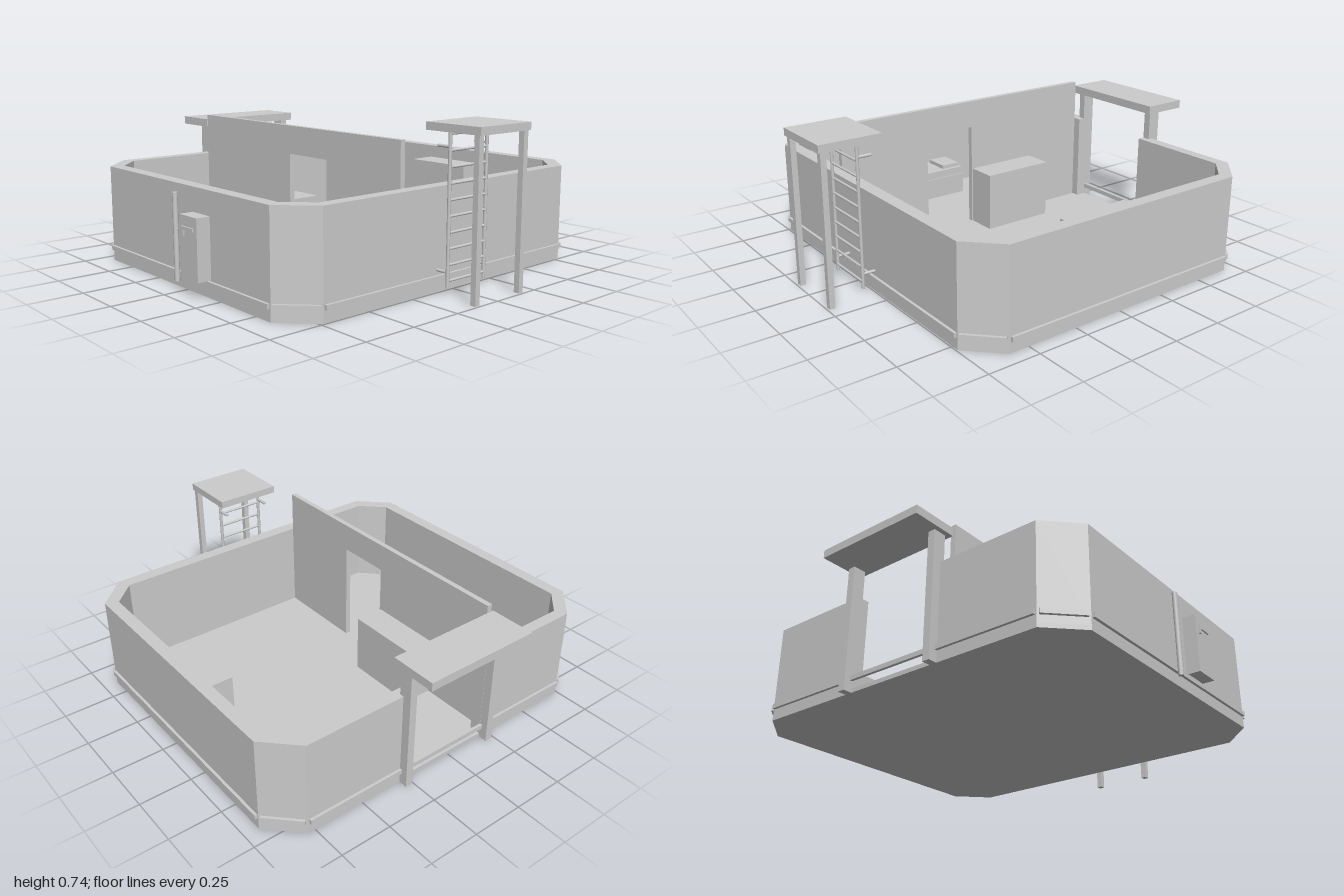
import * as THREE from 'three';

export function createModel() {
  const model = new THREE.Group();
  model.name = 'openCabin';
  const grey = new THREE.MeshStandardMaterial({ color: 0xcccccc });
  grey.name = 'plainGrey';

  const add = (name, geometry, parent = model) => {
    const mesh = new THREE.Mesh(geometry, grey);
    mesh.name = name;
    parent.add(mesh);
    return mesh;
  };
  // Box given by its limits on each axis
  const box = (name, x0, x1, y0, y1, z0, z1, parent) => {
    const mesh = add(name, new THREE.BoxGeometry(x1 - x0, y1 - y0, z1 - z0), parent);
    mesh.position.set((x0 + x1) / 2, (y0 + y1) / 2, (z0 + z1) / 2);
    return mesh;
  };
  const group = (name) => {
    const g = new THREE.Group();
    g.name = name;
    model.add(g);
    return g;
  };
  // Upright prism from a plan outline of [x, z] points
  const prism = (name, points, y0, y1) => {
    const shape = new THREE.Shape(points.map(([x, z]) => new THREE.Vector2(x, -z)));
    const geometry = new THREE.ExtrudeGeometry(shape, { depth: y1 - y0, bevelEnabled: false });
    geometry.rotateX(-Math.PI / 2).translate(0, y0, 0);
    return add(name, geometry);
  };
  // Rectangle with cut corners, starting and ending on the back edge
  const octagon = (x0, x1, z0, z1, c) => [
    [x1 - c, z0], [x1, z0 + c], [x1, z1 - c], [x1 - c, z1],
    [x0 + c, z1], [x0, z1 - c], [x0, z0 + c], [x0 + c, z0],
  ];

  // Floor and outer wall with a doorway in the back
  const X0 = -0.88, X1 = 0.93, Z0 = -0.823, Z1 = 0.743, C = 0.145;
  const outer = octagon(X0, X1, Z0, Z1, C);
  const inner = octagon(-0.818, 0.87, -0.768, 0.682, 0.112);
  const doorL = 0.255, doorR = -0.2;
  prism('floor', outer, 0, 0.02);
  prism('outerWall', [
    [doorL, Z0], ...outer, [doorR, Z0],
    [doorR, -0.768], ...inner.slice().reverse(), [doorL, -0.768],
  ], 0.02, 0.465);

  // Trim strip along each of the eight sides
  const trim = group('trim');
  outer.forEach((a, i) => {
    const b = outer[(i + 1) % outer.length];
    const dx = b[0] - a[0], dz = b[1] - a[1];
    const length = Math.hypot(dx, dz);
    const diagonal = Math.abs(dx * dz) > 1e-6;
    const strip = add('trimStrip', new THREE.BoxGeometry(length - (diagonal ? 0.018 : 0.012), 0.022, 0.014), trim);
    strip.position.set((a[0] + b[0]) / 2 + (dz / length) * 0.006, 0.065, (a[1] + b[1]) / 2 - (dx / length) * 0.006);
    strip.rotation.y = -Math.atan2(dz, dx);
  });

  // Partition with a door opening
  const partition = new THREE.Shape([
    [-0.682, 0.02], [-0.21, 0.02], [-0.21, 0.535], [0.06, 0.535],
    [0.06, 0.02], [0.765, 0.02], [0.765, 0.67], [-0.682, 0.67],
  ].map(([x, y]) => new THREE.Vector2(x, y)));
  const partitionGeometry = new THREE.ExtrudeGeometry(partition, { depth: 0.026, bevelEnabled: false });
  partitionGeometry.rotateY(Math.PI / 2).translate(-0.263, 0, 0);
  add('partition', partitionGeometry);

  // Canopy over the back doorway
  const canopy = group('backCanopy');
  box('canopyRoof', -0.26, 0.31, 0.605, 0.645, -1, -0.778, canopy);
  for (const x of [-0.237, 0.255]) box('canopyPost', x, x + 0.036, 0, 0.605, -0.866, -0.802, canopy);

  // Raised platform on two posts
  const platform = group('frontPlatform');
  box('platformDeck', -0.135, 0.187, 0.705, 0.74, 0.703, 1, platform);
  for (const x of [-0.131, 0.155]) box('platformPost', x, x + 0.027, 0, 0.705, 0.963, 0.99, platform);

  // Ladder with stiles, rungs and wall brackets
  const ladder = group('ladder');
  const rod = (name, length, r, x, y, z, axis) => {
    const mesh = add(name, new THREE.CylinderGeometry(r, r, length, 8), ladder);
    mesh.position.set(x, y, z);
    if (axis) mesh.rotation[axis] = Math.PI / 2;
  };
  for (const x of [-0.094, 0.142]) {
    rod('ladderStile', 0.675, 0.008, x, 0.3675, 0.803);
    rod('ladderBracket', 0.065, 0.007, x, 0.64, 0.768, 'x');
    rod('ladderBracket', 0.065, 0.007, x, 0.1, 0.773, 'x');
  }
  for (let i = 0; i < 10; i++) rod('ladderRung', 0.236, 0.006, 0.024, 0.062 + i * 0.0702, 0.803, 'z');

  // Utility box and pipe on the side wall
  const utility = group('utilityBox');
  box('utilityCase', -0.945, X0, 0.08, 0.355, 0.055, 0.185, utility);
  box('utilityHandle', -0.952, -0.945, 0.268, 0.308, 0.075, 0.09, utility);
  box('utilityHandle', -0.952, -0.945, 0.293, 0.308, 0.09, 0.16, utility);
  const pipe = add('wallPipe', new THREE.CylinderGeometry(0.012, 0.012, 0.395, 12));
  pipe.position.set(-0.905, 0.232, -0.045);

  // Furniture
  box('cabinet', -0.237, -0.09, 0.02, 0.31, -0.44, -0.067);
  box('wallCupboard', 0.725, 0.87, 0.02, 0.4, -0.2, 0.172);
  const bed = group('bed');
  box('bedBase', -0.818, -0.64, 0.02, 0.13, -0.285, 0.135, bed);
  box('mattress', -0.812, -0.646, 0.13, 0.17, -0.279, 0.129, bed);
  box('pillow', -0.8, -0.665, 0.17, 0.19, -0.268, -0.165, bed);

  return model;
}
